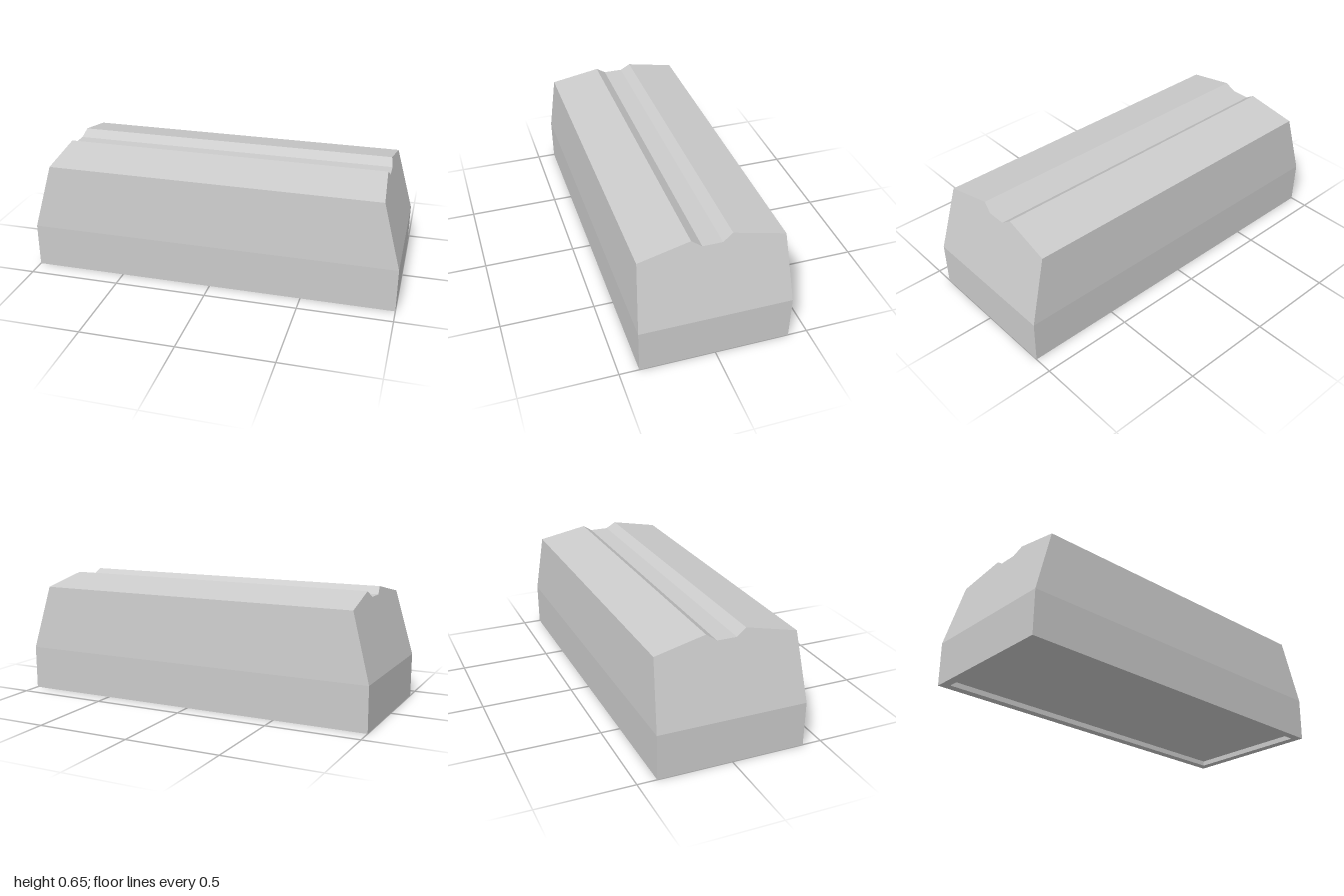
import * as THREE from 'three';

// Cross-section as [z, y], from the front foot over the top to the back foot
const half = [[0.397, 0], [0.4, 0.24], [0.376, 0.595], [0.105, 0.652], [0.052, 0.616]];
const profile = [...half, ...half.map(([z, y]) => [-z, y]).reverse()];
const SHOULDER = 0.24;   // height where the ends start to lean inwards
const LEAN = 0.275;
const RIM = 0.045;       // width of the border round the underside
const RECESS = 0.028;    // depth of the hollow in the underside

const endX = (y) => 1 - Math.max(0, y - SHOULDER) * LEAN;

function meshFrom(name, build) {
  const positions = [];
  const tri = (...corners) => corners.forEach((p) => positions.push(...p));
  const quad = (a, b, c, d) => { tri(a, b, c); tri(a, c, d); };
  build(tri, quad);
  const geometry = new THREE.BufferGeometry();
  geometry.setAttribute('position', new THREE.Float32BufferAttribute(positions, 3));
  geometry.computeVertexNormals();
  const mesh = new THREE.Mesh(geometry, new THREE.MeshStandardMaterial({ color: 0xcccccc, flatShading: true }));
  mesh.name = name;
  return mesh;
}

export function createModel() {
  const group = new THREE.Group();
  group.name = 'groovedBlock';
  const at = (side, [z, y]) => [side * endX(y), y, z];

  // Long sides, sloping top and groove
  group.add(meshFrom('groovedBody', (tri, quad) => {
    for (let i = 0; i < profile.length - 1; i++) {
      const p = profile[i], q = profile[i + 1];
      quad(at(-1, p), at(1, p), at(1, q), at(-1, q));
    }
  }));

  // Both ends, fanned from the middle of the shoulder line
  group.add(meshFrom('slopedEnds', (tri) => {
    const hub = [0, SHOULDER];
    profile.forEach((p, i) => {
      const q = profile[(i + 1) % profile.length];
      tri(at(1, hub), at(1, q), at(1, p));
      tri(at(-1, hub), at(-1, p), at(-1, q));
    });
  }));

  // Underside with a flat rim around a shallow recess
  group.add(meshFrom('recessedUnderside', (tri, quad) => {
    const ring = (inset, y) => [[-1, -1], [1, -1], [1, 1], [-1, 1]]
      .map(([sx, sz]) => [sx * (1 - inset), y, sz * (half[0][0] - inset)]);
    const rings = [ring(0, 0), ring(RIM, 0), ring(RIM, RECESS)];
    for (let r = 0; r < 2; r++) {
      for (let i = 0; i < 4; i++) {
        const j = (i + 1) % 4;
        quad(rings[r][i], rings[r][j], rings[r + 1][j], rings[r + 1][i]);
      }
    }
    quad(...rings[2]);
  }));

  return group;
}
